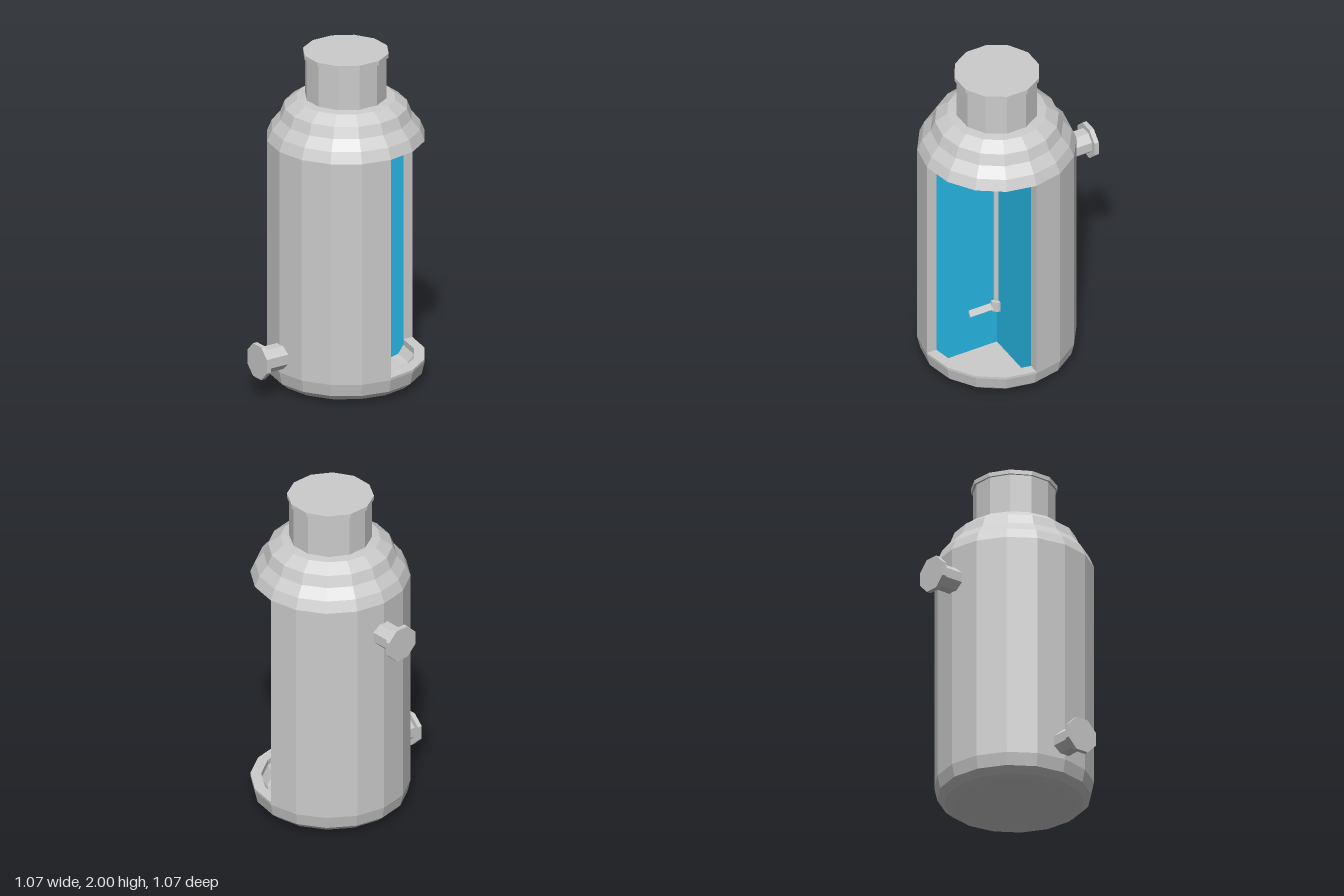
import * as THREE from 'three';

const grey = new THREE.MeshStandardMaterial({ color: 0xcccccc, flatShading: true, side: THREE.DoubleSide });
const blue = new THREE.MeshStandardMaterial({ color: 0x27b8e5, side: THREE.DoubleSide });

const OUTER = 0.457, INNER = 0.395, LOW = 0.145, HIGH = 1.48;
const toPoints = (list) => list.map(([x, y]) => new THREE.Vector2(x, y));

function add(parent, name, geometry, material = grey) {
  const mesh = new THREE.Mesh(geometry, material);
  mesh.name = name;
  parent.add(mesh);
  return mesh;
}

// Polygonal cylinder with flat sides on the axes; size is centre to flat
function flatSided(size, height, sides) {
  const r = size / Math.cos(Math.PI / sides);
  return new THREE.CylinderGeometry(r, r, height, sides).rotateY(Math.PI / sides);
}

// Pipe stub pointing outwards along +z, ending in a flange
function nozzle(name) {
  const g = new THREE.Group();
  g.name = name;
  add(g, 'nozzlePipe', flatSided(0.07, 0.2, 8).rotateX(Math.PI / 2)).position.z = 0.49;
  add(g, 'nozzleFlange', flatSided(0.1, 0.028, 8).rotateX(Math.PI / 2)).position.z = 0.596;
  return g;
}

export function createModel() {
  const model = new THREE.Group();
  model.name = 'cutawayTank';
  const tank = new THREE.Group();
  tank.name = 'tank';
  tank.position.set(0.075, 0, 0.075);
  model.add(tank);

  // Hollow base and dome, each with its inside surface
  const floor = [[INNER, LOW], [INNER, 0.11], [0.36, 0.065], [0.32, 0.055], [0, 0.055]];
  const ceiling = [[0, 1.67], [0.23, 1.665], [0.29, 1.63], [0.32, 1.57], [0.37, 1.52], [INNER, HIGH]];
  add(tank, 'base', new THREE.LatheGeometry(toPoints([
    [0, 0], [0.35, 0.005], [0.4, 0.02], [0.44, 0.055], [OUTER, 0.13], [OUTER, LOW], ...floor,
  ]), 16));
  add(tank, 'dome', new THREE.LatheGeometry(toPoints([
    ...ceiling, [OUTER, HIGH], [0.43, 1.545], [0.38, 1.605], [0.355, 1.67], [0.285, 1.72], [0.2, 1.73], [0, 1.73],
  ]), 16));

  // Wall with the front left quarter cut away
  const ring = [];
  for (let i = 4; i <= 16; i++) ring.push([OUTER, i]);
  for (let i = 16; i >= 4; i--) ring.push([INNER, i]);
  const section = new THREE.Shape(ring.map(([r, i]) => {
    const a = (i * Math.PI) / 8;
    return new THREE.Vector2(r * Math.sin(a), -r * Math.cos(a));
  }));
  const wall = new THREE.ExtrudeGeometry(section, { depth: HIGH - LOW, bevelEnabled: false });
  add(tank, 'wall', wall.rotateX(-Math.PI / 2).translate(0, LOW, 0));

  // Two cut faces of the contents, meeting on the axis
  const half = new THREE.Shape(toPoints([...floor.slice().reverse(), ...ceiling.slice().reverse()]));
  add(tank, 'contentsFaceRight', new THREE.ShapeGeometry(half), blue);
  add(tank, 'contentsFaceBack', new THREE.ShapeGeometry(half).rotateY(-Math.PI / 2), blue);

  // Neck and lid
  add(tank, 'neck', flatSided(0.228, 0.27, 12)).position.y = 1.845;
  add(tank, 'lid', flatSided(0.24, 0.025, 12)).position.y = 1.9875;

  // Stirrer
  add(tank, 'stirrerShaft', flatSided(0.021, 1.35, 8)).position.y = 0.985;
  add(tank, 'stirrerHub', flatSided(0.041, 0.065, 8)).position.y = 0.332;
  const blade = add(tank, 'stirrerBlade', new THREE.BoxGeometry(0.012, 0.04, 0.16));
  blade.position.set(0.008, 0.328, 0.105);
  blade.rotation.z = 0.6;

  // Upper nozzle at the back, lower nozzle on the right
  const upper = nozzle('upperNozzle');
  upper.position.y = 1.28;
  upper.rotation.y = Math.PI;
  const lower = nozzle('lowerNozzle');
  lower.position.y = 0.23;
  lower.rotation.y = -Math.PI / 2;
  tank.add(upper, lower);

  return model;
}
